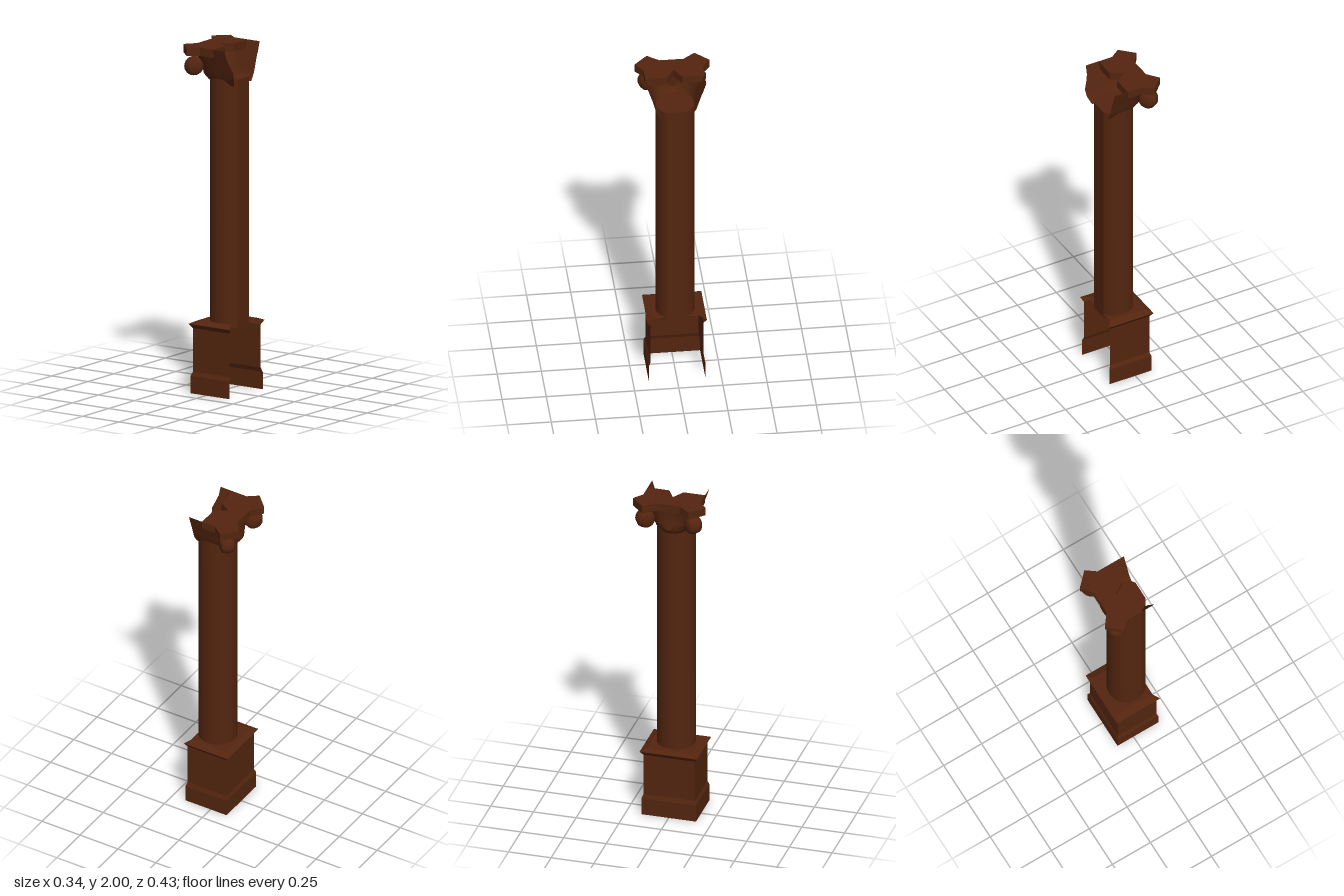
import * as THREE from 'three';
import { toCreasedNormals } from 'three/addons/utils/BufferGeometryUtils.js';

const CX = 0.05; // axis of the shaft, set back from the open side

// Skin through open rings that share one point count
function loft(rings, crease) {
  const n = rings[0].length, idx = [];
  for (let r = 0; r < rings.length - 1; r++) {
    for (let i = 0; i < n - 1; i++) {
      const a = r * n + i, b = a + 1, c = a + n, d = c + 1;
      idx.push(a, c, b, b, c, d);
    }
  }
  const g = new THREE.BufferGeometry();
  g.setAttribute('position', new THREE.Float32BufferAttribute(rings.flat(2), 3));
  g.setIndex(idx);
  return toCreasedNormals(g, crease);
}

// Extrude a plan drawn in x and -z upward from y
function slab(shape, y, height, crease) {
  const g = new THREE.ExtrudeGeometry(shape, { depth: height, bevelEnabled: false, curveSegments: 40 });
  g.rotateX(-Math.PI / 2).translate(0, y, 0);
  return toCreasedNormals(g, crease);
}

export function createModel() {
  const model = new THREE.Group();
  model.name = 'halfColumn';
  const wood = new THREE.MeshStandardMaterial({ color: 0x54250f, side: THREE.DoubleSide });
  wood.name = 'darkBrown';
  const add = (name, geometry) => {
    const mesh = new THREE.Mesh(geometry, wood);
    mesh.name = name;
    model.add(mesh);
    return mesh;
  };

  // Plinth: three moulded walls, open at +x. Rows are y, x min, x max, half depth
  const plinthRows = [
    [0, -0.105, 0.165, 0.16], [0.1, -0.105, 0.165, 0.16], [0.125, -0.096, 0.158, 0.15],
    [0.375, -0.096, 0.158, 0.15], [0.4, -0.114, 0.172, 0.168], [0.415, -0.086, 0.145, 0.13],
  ];
  add('plinth', loft(plinthRows.map(([y, x0, x1, z]) =>
    [[x1, y, z], [x0, y, z], [x0, y, -z], [x1, y, -z]]), 0.15));
  const plate = new THREE.PlaneGeometry(0.231, 0.26).rotateX(-Math.PI / 2);
  add('plinthTop', plate.translate(0.0295, 0.415, 0));

  // Shaft: round, with a flat face towards +x
  const round = new THREE.Shape();
  round.absarc(CX, 0, 0.11, Math.PI / 6, Math.PI * 11 / 6, false);
  add('shaft', slab(round, 0.39, 1.43, 0.4));

  // Capital bell: round at the neck, square at the top, with side walls running to +x
  // Rows are y, reach to -x, half depth, squareness, front wall end, back wall end
  const bellRows = [
    [1.785, 0.105, 0.085, 2, 0.14, 0.138], [1.8, 0.13, 0.095, 2, 0.148, 0.138],
    [1.83, 0.155, 0.112, 2.2, 0.16, 0.138], [1.87, 0.15, 0.125, 2.6, 0.165, 0.138],
    [1.91, 0.148, 0.137, 3.2, 0.15, 0.138], [1.95, 0.155, 0.152, 5, 0.137, 0.138],
    [2.0, 0.17, 0.168, 9, 0.135, 0.138],
  ];
  const steps = 32;
  add('capitalBell', loft(bellRows.map(([y, ax, az, power, front, back]) => {
    const ring = [[front, y, az]];
    for (let i = 0; i <= steps; i++) {
      const t = Math.PI * i / steps, s = Math.sin(t), c = Math.cos(t);
      const x = Math.pow(Math.abs(s), 2 / power), z = Math.pow(Math.abs(c), 2 / power);
      ring.push([CX - ax * x, y, az * z * Math.sign(c)]);
    }
    ring.push([back, y, -az]);
    return ring;
  }), 0.8));

  // Abacus: slab with two diagonal horns and a notch on the open side
  const half = [[0.052, 0.042], [0.052, 0.168], [-0.035, 0.168], [-0.095, 0.213], [-0.173, 0.135], [-0.121, 0.068]];
  const plan = [[-0.02, 0], ...half, ...half.map(([x, z]) => [x, -z]).reverse()];
  add('abacus', slab(new THREE.Shape(plan.map(([x, z]) => new THREE.Vector2(x, z))), 1.953, 0.046, 0.3));

  // Scrolls under the horns
  const scrollProfile = [[0, -0.044], [0.03, -0.042], [0.048, -0.03], [0.056, 0], [0.048, 0.03], [0.03, 0.042], [0, 0.044]];
  const scroll = new THREE.LatheGeometry(scrollProfile.map(([r, h]) => new THREE.Vector2(r, h)), 24);
  scroll.rotateZ(Math.PI / 2);
  for (const s of [1, -1]) {
    const mesh = add(s > 0 ? 'frontScroll' : 'backScroll', scroll);
    mesh.position.set(-0.096, 1.885, s * 0.14);
    mesh.rotation.y = -s * Math.PI / 4;
  }
  return model;
}
